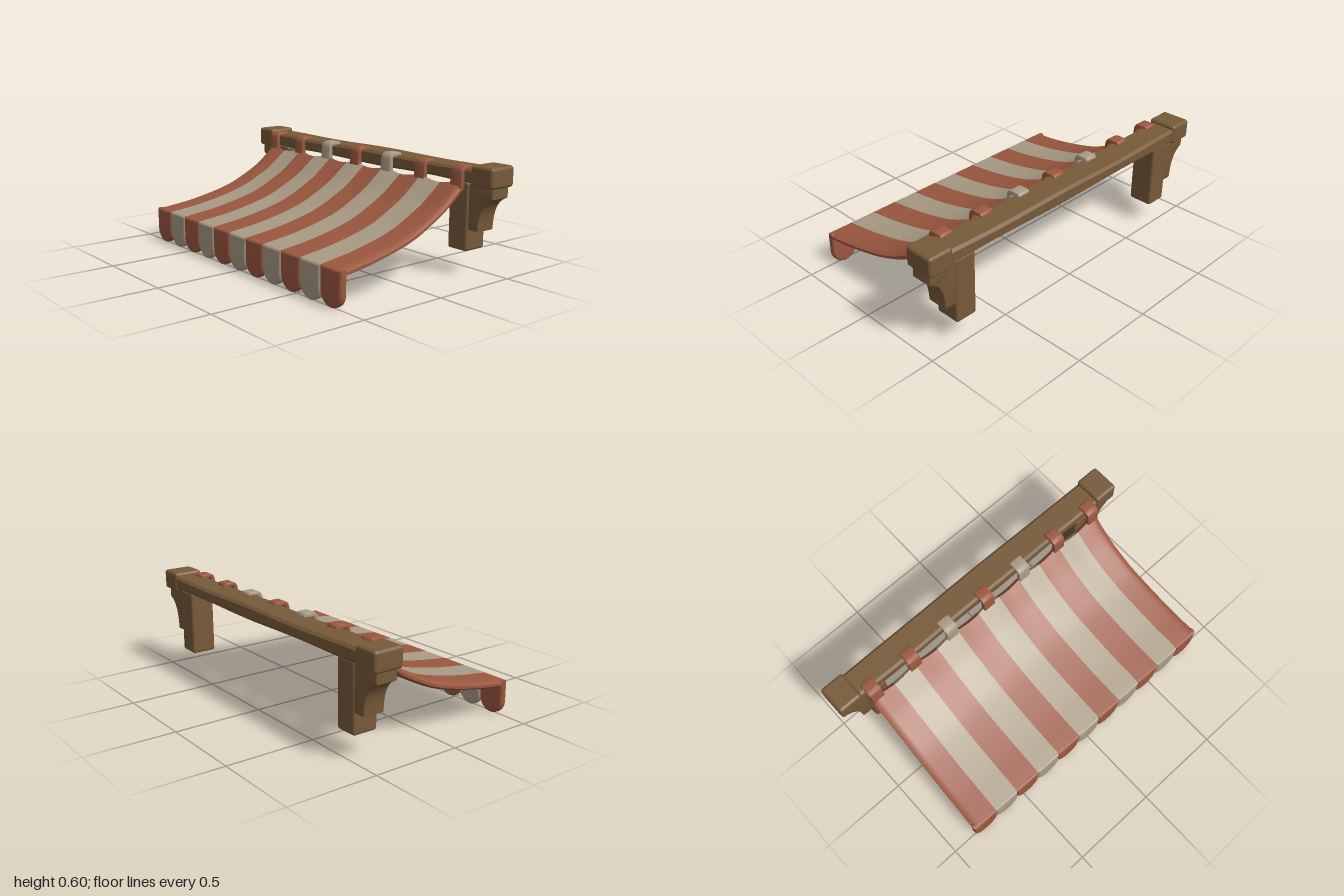
import * as THREE from 'three';
import { toCreasedNormals } from 'three/addons/utils/BufferGeometryUtils.js';
import { RoundedBoxGeometry } from 'three/addons/geometries/RoundedBoxGeometry.js';

const flat = (name, color) => {
  const m = new THREE.MeshStandardMaterial({ color });
  m.name = name;
  return m;
};

export function createModel() {
  const wood = flat('brown wood', 0x775a39);
  const red = flat('terracotta cloth', 0x9c5840);
  const cream = flat('cream cloth', 0xaa9c86);
  const model = new THREE.Group();
  model.name = 'awning';

  const add = (name, geometry, material, x = 0, y = 0, z = 0) => {
    const mesh = new THREE.Mesh(geometry, material);
    mesh.name = name;
    mesh.position.set(x, y, z);
    model.add(mesh);
    return mesh;
  };

  // Hewn crossbeam: chamfered section, slightly bowed and uneven along x
  const hz = 0.077, hy = 0.038, c = 0.014;
  const section = new THREE.Shape([
    [-hz + c, -hy], [hz - c, -hy], [hz, -hy + c], [hz, hy - c],
    [hz - c, hy], [-hz + c, hy], [-hz, hy - c], [-hz, -hy + c],
  ].map(([a, b]) => new THREE.Vector2(a, b)));
  const beam = new THREE.ExtrudeGeometry(section, { depth: 1.76, steps: 20, bevelEnabled: false });
  beam.rotateY(-Math.PI / 2).translate(0.88, 0, 0);
  const bp = beam.attributes.position;
  for (let i = 0; i < bp.count; i++) {
    const x = bp.getX(i), y = bp.getY(i), z = bp.getZ(i);
    bp.setY(i, y + 0.003 * Math.sin(7 * x + 1) * Math.sign(y));
    bp.setZ(i, z + (z < 0 ? -0.008 * (1 - x * x) : 0.002 * Math.sin(9 * x)));
  }
  add('crossbeam', toCreasedNormals(beam, 0.5), wood, 0, 0.54, -0.434);

  // Curved bracket outline, seen from the front on the +x side
  const bracketShape = new THREE.Shape();
  bracketShape.moveTo(0.82, 0.5);
  bracketShape.lineTo(0.82, 0.25);
  bracketShape.lineTo(0.895, 0.25);
  bracketShape.lineTo(0.898, 0.29);
  bracketShape.quadraticCurveTo(0.908, 0.395, 0.968, 0.425);
  bracketShape.lineTo(0.985, 0.435);
  bracketShape.lineTo(0.985, 0.5);
  bracketShape.closePath();

  // End blocks, wall posts and brackets on both sides
  for (const s of [-1, 1]) {
    const side = s > 0 ? 'left' : 'right';
    add(side + 'EndBlock', new RoundedBoxGeometry(0.145, 0.112, 0.172, 3, 0.018), wood, s * 0.9275, 0.545, -0.433);
    add(side + 'Post', new RoundedBoxGeometry(0.13, 0.37, 0.144, 3, 0.014), wood, s * 0.768, 0.32, -0.43);
    const bracket = new THREE.ExtrudeGeometry(bracketShape, {
      depth: 0.106, bevelThickness: 0.01, bevelSize: 0.01, bevelOffset: -0.01, bevelSegments: 2, curveSegments: 10,
    });
    bracket.translate(0, 0, -0.053);
    // the bracket is symmetric in z, so half a turn mirrors it to the other side
    if (s < 0) bracket.rotateY(Math.PI);
    add(side + 'Bracket', toCreasedNormals(bracket, 0.6), wood, 0, 0, -0.433);
  }

  // Hanging curve of the cloth, front to back
  const drape = new THREE.CatmullRomCurve3([
    [0.5, 0.18], [0.3, 0.206], [0.1, 0.249], [0, 0.281], [-0.1, 0.328], [-0.2, 0.384], [-0.333, 0.488],
  ].map(([z, y]) => new THREE.Vector3(0, y, z)));
  const STRIPES = 11, NU = 8, NV = 28, RING = 2 * NU + 2;
  const tabGap = 0.2635;

  // One stripe: a closed slab swept along the drape
  function stripeGeometry(k) {
    const pos = [], idx = [];
    for (let v = 0; v <= NV; v++) {
      const t = v / NV, p = drape.getPoint(t), d = drape.getTangent(t);
      const half = 0.828 + 0.027 * (1 - t) ** 2;
      for (let j = 0; j < RING; j++) {
        const top = j <= NU;
        const u = ((k + (top ? j : RING - 1 - j) / NU) / STRIPES) * 2 - 1;
        const x = u * half;
        // rounded outer hem, and a sag between the tabs that fades forward
        const edge = Math.max(0, (Math.abs(u) - 0.965) / 0.035);
        const h = (top ? 1 : -1) * 0.02 * (1 - 0.65 * edge * edge);
        const sag = 0.007 * (1 - Math.cos((2 * Math.PI * x) / tabGap)) * t ** 4;
        pos.push(x, p.y - d.z * h - sag, p.z + d.y * h + sag * 0.4);
      }
    }
    const quad = (a, b, e, f) => idx.push(a, b, e, a, e, f);
    for (let v = 0; v < NV; v++) {
      for (let j = 0; j < RING; j++) {
        const n = (j + 1) % RING, r = v * RING;
        quad(r + j, r + n, r + RING + n, r + RING + j);
      }
    }
    const e = NV * RING;
    for (let j = 0; j < NU; j++) {
      const b = RING - 1 - j;
      quad(j, b, b - 1, j + 1);
      quad(e + j, e + j + 1, e + b - 1, e + b);
    }
    const g = new THREE.BufferGeometry();
    g.setAttribute('position', new THREE.Float32BufferAttribute(pos, 3));
    g.setIndex(idx);
    return toCreasedNormals(g, 0.75);
  }

  // Round-ended valance flap
  const w = 0.0778, flapShape = new THREE.Shape();
  flapShape.moveTo(w, 0.2);
  flapShape.lineTo(-w, 0.2);
  flapShape.lineTo(-w, 0.08);
  flapShape.absarc(0, 0.08, w, Math.PI, 2 * Math.PI, false);
  flapShape.closePath();
  const flapGeometry = toCreasedNormals(new THREE.ExtrudeGeometry(flapShape, {
    depth: 0.016, bevelThickness: 0.013, bevelSize: 0.013, bevelOffset: -0.013, bevelSegments: 3, curveSegments: 20,
  }), 0.7);

  for (let k = 0; k < STRIPES; k++) {
    const material = k % 2 ? cream : red;
    add('clothStripe' + (k + 1), stripeGeometry(k), material);
    add('valanceFlap' + (k + 1), flapGeometry, material, (k - 5) * 0.1555, 0, 0.49);
  }

  // Tabs that hook the cloth over the beam, outlined in z and y
  const tabShape = new THREE.Shape();
  tabShape.moveTo(-0.305, 0.475);
  tabShape.lineTo(-0.31, 0.555);
  tabShape.quadraticCurveTo(-0.313, 0.592, -0.345, 0.594);
  tabShape.lineTo(-0.39, 0.593);
  tabShape.quadraticCurveTo(-0.402, 0.591, -0.402, 0.57);
  tabShape.lineTo(-0.35, 0.57);
  tabShape.quadraticCurveTo(-0.335, 0.57, -0.335, 0.555);
  tabShape.lineTo(-0.338, 0.475);
  tabShape.closePath();
  const tabGeometry = new THREE.ExtrudeGeometry(tabShape, {
    depth: 0.064, bevelThickness: 0.006, bevelSize: 0.005, bevelOffset: -0.005, bevelSegments: 2, curveSegments: 6,
  });
  tabGeometry.translate(0, 0, -0.032).rotateY(-Math.PI / 2);
  const tab = toCreasedNormals(tabGeometry, 0.7);
  for (let i = -3; i <= 3; i++) {
    add('tab' + (i + 4), tab, Math.abs(i) === 1 ? cream : red, i * tabGap, 0, 0);
  }

  return model;
}
